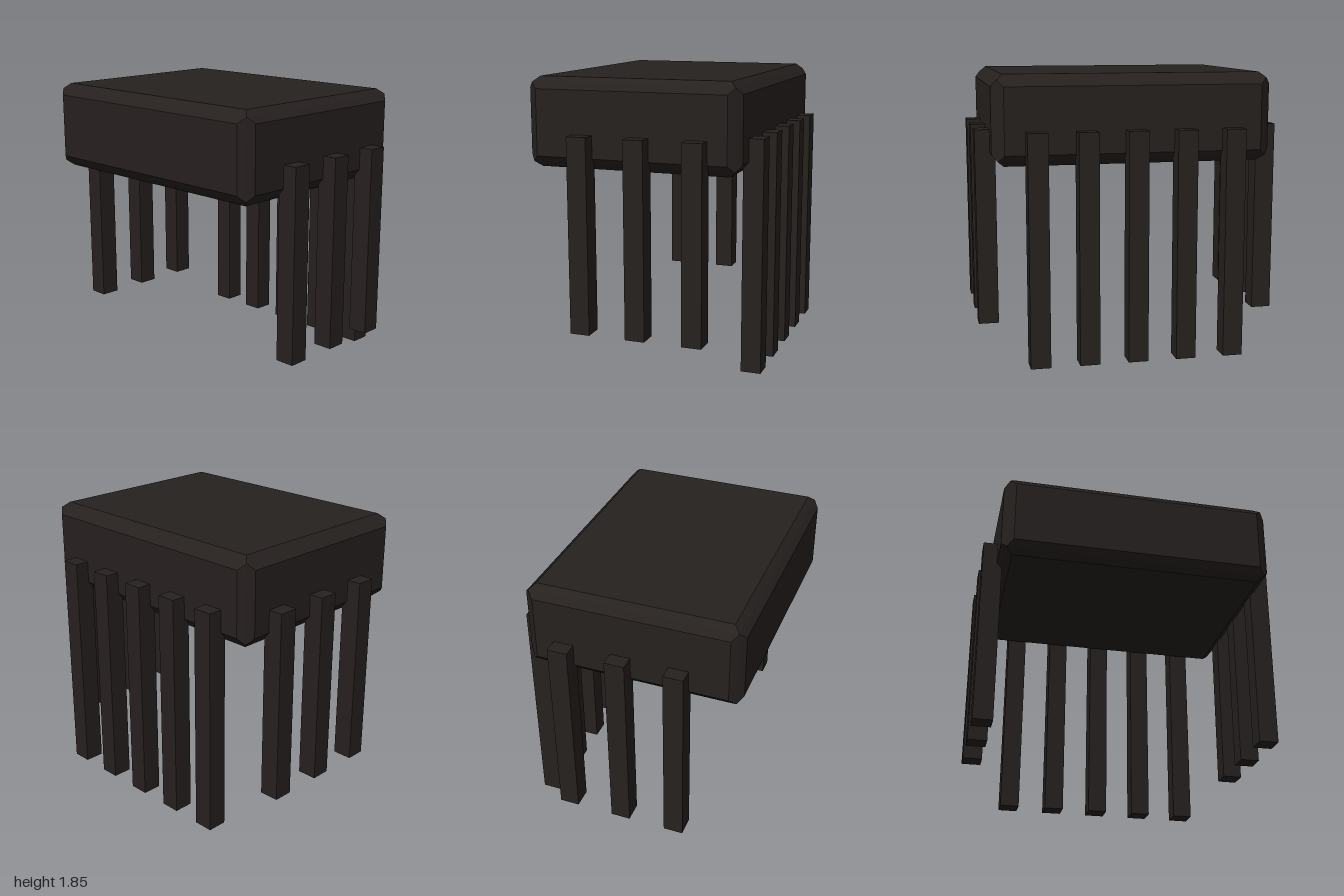
import * as THREE from 'three';
import { ConvexGeometry } from 'three/addons/geometries/ConvexGeometry.js';

const material = new THREE.MeshStandardMaterial({ color: 0x26211f, flatShading: true });

// Box with 45 degree bevelled edges and softly pointed bevelled corners
function bevelledBox(width, height, depth, bevel) {
  const points = [];
  const half = [width / 2, height / 2, depth / 2];
  for (const sx of [-1, 1]) for (const sy of [-1, 1]) for (const sz of [-1, 1]) {
    const corner = (insets) => new THREE.Vector3(
      sx * (half[0] - insets[0]), sy * (half[1] - insets[1]), sz * (half[2] - insets[2]));
    points.push(
      corner([0, bevel, bevel]),
      corner([bevel, 0, bevel]),
      corner([bevel, bevel, 0]),
      corner([bevel * 0.47, bevel * 0.47, bevel * 0.47]));
  }
  return new ConvexGeometry(points);
}

export function createModel() {
  const model = new THREE.Group();
  model.name = 'pinnedBlock';

  // Main body, set slightly forward of centre
  const body = new THREE.Mesh(bevelledBox(1.81, 0.575, 1.405, 0.075), material);
  body.name = 'body';
  body.position.set(0, 1.5625, 0.0475);
  model.add(body);

  // Square pin from bottom to the shared top height
  const pinWidth = 0.13, pinTop = 1.497;
  function addPin(name, x, z, bottom) {
    const height = pinTop - bottom;
    const pin = new THREE.Mesh(new THREE.BoxGeometry(pinWidth, height, pinWidth), material);
    pin.name = name;
    pin.position.set(x, bottom + height / 2, z);
    model.add(pin);
  }

  // Three shorter pins on each side
  for (const [side, sign] of [['left', 1], ['right', -1]]) {
    for (let i = 0; i < 3; i++) addPin(`${side}Pin${i + 1}`, sign * 0.935, -0.39 + i * 0.375, 0.23);
  }

  // Five long pins along the back
  for (let i = 0; i < 5; i++) addPin(`backPin${i + 1}`, (i - 2) * 0.3175, -0.685, 0);

  return model;
}
